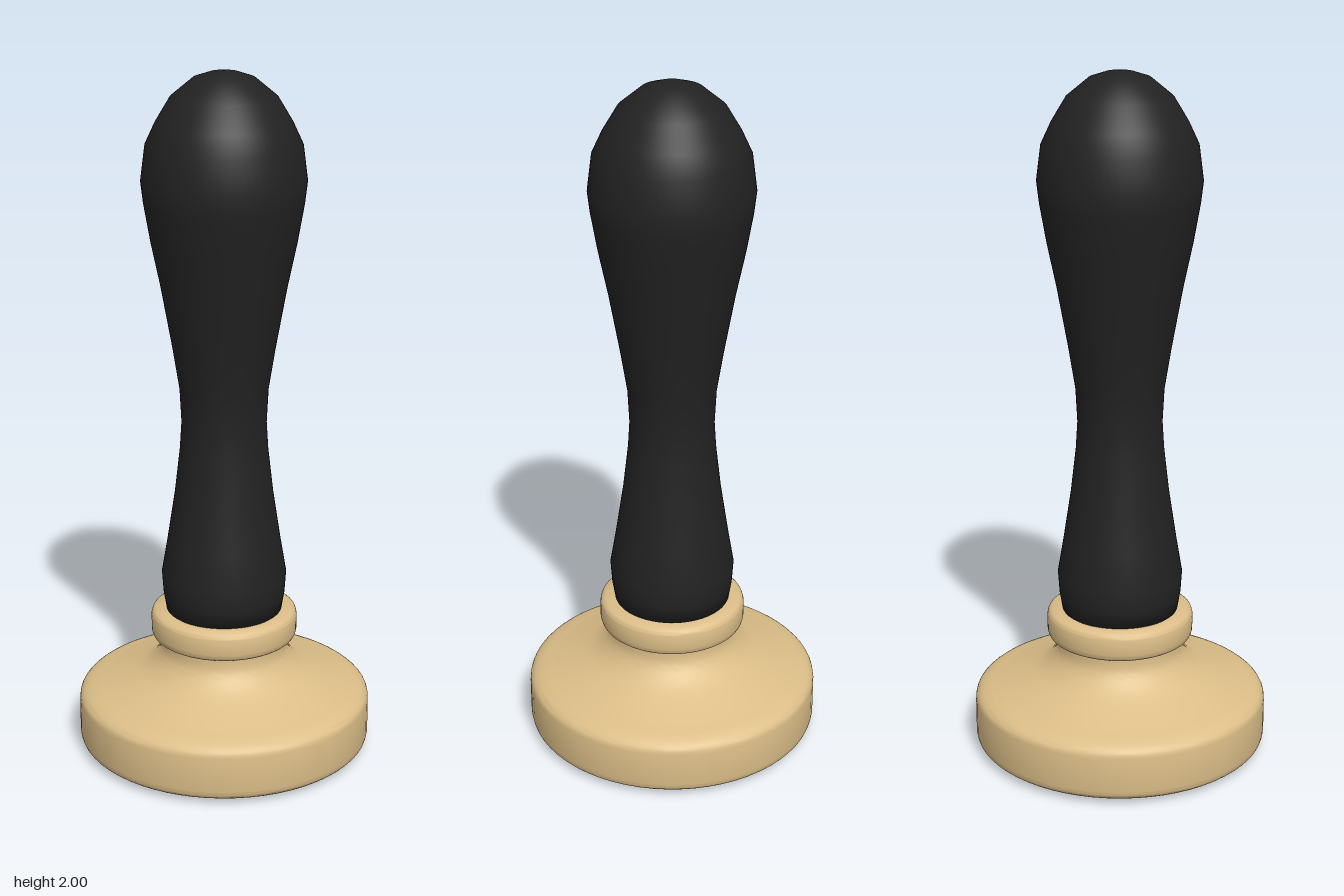
import * as THREE from 'three';
import { toCreasedNormals } from 'three/addons/utils/BufferGeometryUtils.js';

const wood = new THREE.MeshStandardMaterial({ color: 0xdcbe88 });
wood.name = 'pale brass';
const black = new THREE.MeshStandardMaterial({ color: 0x222222 });
black.name = 'black grip';

const toPoints = (pairs) => pairs.map(([r, y]) => new THREE.Vector2(r, y));

// Turned part from a bottom-to-top profile of [radius, height]
function turned(name, profile, material, crease) {
  let geometry = new THREE.LatheGeometry(toPoints(profile), 64);
  if (crease) geometry = toCreasedNormals(geometry, crease);
  const mesh = new THREE.Mesh(geometry, material);
  mesh.name = name;
  return mesh;
}

// Smooth run of profile points through a few control points
function smooth(pairs, count) {
  return new THREE.SplineCurve(toPoints(pairs)).getPoints(count).map((p) => [p.x, p.y]);
}

export function createModel() {
  const model = new THREE.Group();
  model.name = 'sealStamp';

  // Bulbous grip, waisted in the middle
  model.add(turned('handle', [
    [0, 0.42], [0.168, 0.42], [0.178, 0.48], [0.182, 0.54], [0.165, 0.64], [0.142, 0.79],
    [0.127, 0.92], [0.122, 1.0], [0.127, 1.1], [0.146, 1.22], [0.178, 1.4], [0.205, 1.53],
    [0.224, 1.64], [0.231, 1.7], [0.218, 1.8], [0.19, 1.86], [0.148, 1.93], [0.085, 1.982],
    [0.04, 1.997], [0, 2],
  ], black));

  // Broad foot sweeping up into a narrow neck
  model.add(turned('base', [
    [0.325, 0.02], [0.385, 0.02], [0.39, 0.014], [0.41, 0.014],
    ...smooth([[0.415, 0.016], [0.426, 0.026], [0.43, 0.042]], 6),
    ...smooth([[0.43, 0.14], [0.426, 0.16], [0.41, 0.175], [0.385, 0.186]], 8),
    ...smooth([[0.36, 0.192], [0.29, 0.217], [0.235, 0.242], [0.2, 0.272], [0.183, 0.302], [0.18, 0.34]], 18),
  ], wood, 0.7));

  // Rounded collar under the grip
  model.add(turned('collar', [
    [0.165, 0.335], [0.185, 0.335],
    ...smooth([[0.195, 0.338], [0.209, 0.347], [0.214, 0.362]], 6),
    ...smooth([[0.214, 0.405], [0.21, 0.418], [0.198, 0.427]], 6),
    [0.16, 0.427],
  ], wood, 0.7));

  // Recessed stamping face with its raised border
  model.add(turned('stampFace', [[0, 0.022], [0.34, 0.022]], wood));
  model.add(turned('stampBorder', [
    [0.328, 0.023], [0.332, 0.008], [0.34, 0.001], [0.346, 0], [0.358, 0], [0.364, 0.002],
    [0.37, 0.008], [0.373, 0.023],
  ], wood, 0.9));

  return model;
}
